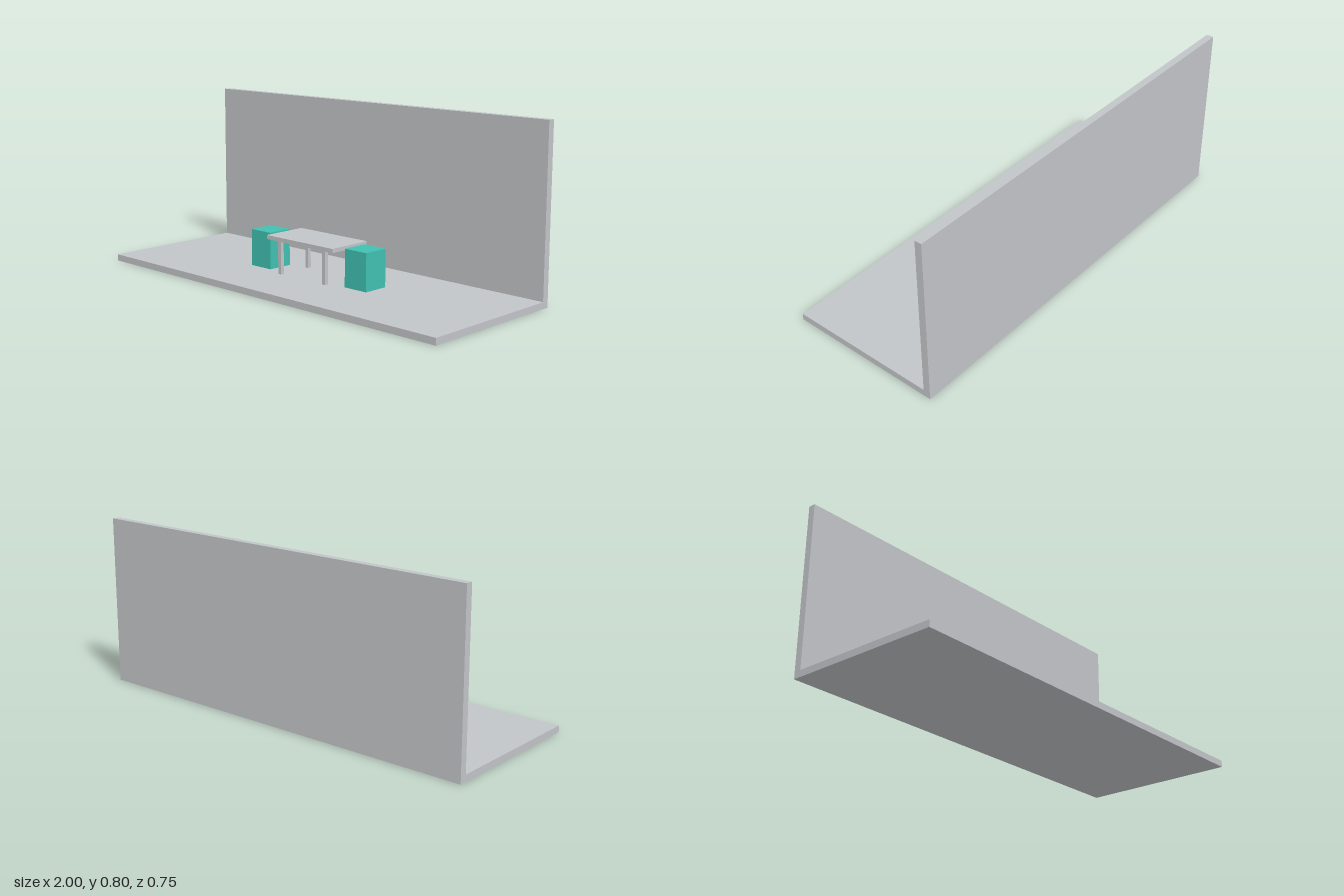
import * as THREE from 'three';

const grey = new THREE.MeshStandardMaterial({ color: 0xc2c5c8 });
grey.name = 'light grey';
const teal = new THREE.MeshStandardMaterial({ color: 0x40c1b2 });
teal.name = 'teal';

// Box given by its centre x and z, its base height and its size
function box(name, material, [w, h, d], [x, base, z]) {
  const mesh = new THREE.Mesh(new THREE.BoxGeometry(w, h, d), material);
  mesh.name = name;
  mesh.position.set(x, base + h / 2, z);
  return mesh;
}

export function createModel() {
  const model = new THREE.Group();
  model.name = 'tableAndStools';
  const floorTop = 0.031;

  // Floor slab and back wall, meeting in an L
  const back = -0.374, wallFront = -0.34, front = 0.374;
  model.add(box('floor', grey, [2, floorTop, front - wallFront], [0, 0, (front + wallFront) / 2]));
  model.add(box('backWall', grey, [2, 0.8, wallFront - back], [0, 0, (back + wallFront) / 2]));

  // Table: thin top on four square legs
  const table = new THREE.Group();
  table.name = 'table';
  const legTop = 0.188;
  table.add(box('tableTop', grey, [0.416, 0.019, 0.223], [0, legTop, 0]));
  for (const x of [-0.14, 0.14]) {
    for (const z of [-0.088, 0.088]) {
      table.add(box('tableLeg', grey, [0.018, legTop - floorTop, 0.018], [x, floorTop, z]));
    }
  }
  model.add(table);

  // Block stools at both ends of the table
  for (const [name, x] of [['rightStool', -0.3], ['leftStool', 0.3]]) {
    model.add(box(name, teal, [0.126, 0.174, 0.126], [x, floorTop, 0]));
  }

  return model;
}
